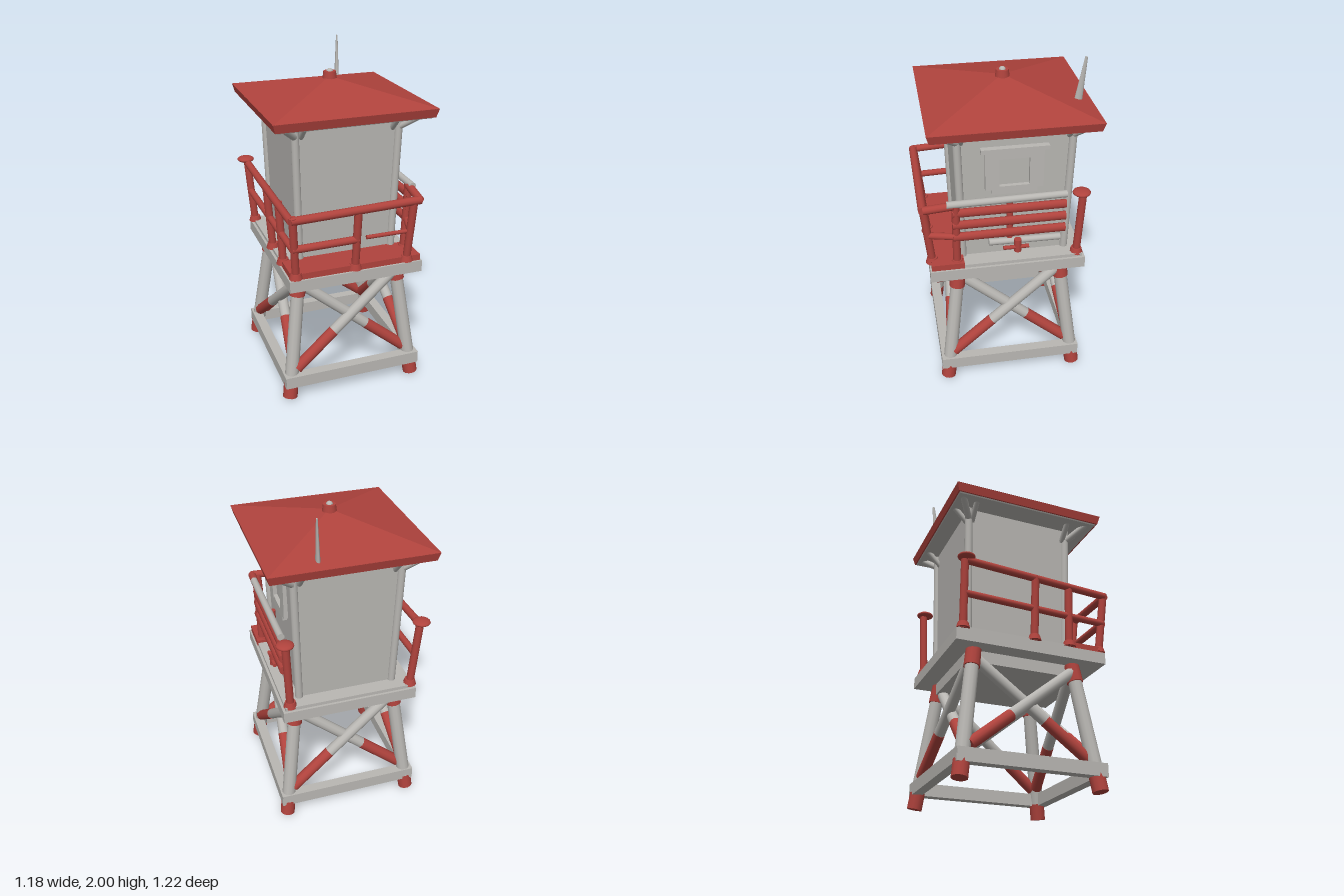
import * as THREE from 'three';

const red = new THREE.MeshStandardMaterial({ name: 'red paint', color: 0xb0433d });
const grey = new THREE.MeshStandardMaterial({ name: 'pale grey wood', color: 0xb9b7b3 });
const V = (x, y, z) => new THREE.Vector3(x, y, z);

export function createModel() {
  const model = new THREE.Group();
  model.name = 'watchTower';
  const tower = new THREE.Group();
  tower.name = 'tower';
  tower.rotation.y = 0.315;
  model.add(tower);

  const add = (name, geo, mat, x = 0, y = 0, z = 0) => {
    const m = new THREE.Mesh(geo, mat);
    m.name = name;
    m.position.set(x, y, z);
    tower.add(m);
    return m;
  };
  // axis-aligned box from its limits
  const box = (name, mat, x0, x1, y0, y1, z0, z1) =>
    add(name, new THREE.BoxGeometry(x1 - x0, y1 - y0, z1 - z0), mat, (x0 + x1) / 2, (y0 + y1) / 2, (z0 + z1) / 2);
  // round pole between two points
  const rod = (name, mat, a, b, r, r2 = r) => {
    const m = add(name, new THREE.CylinderGeometry(r2, r, a.distanceTo(b), 12), mat);
    m.position.copy(a).add(b).multiplyScalar(0.5);
    m.quaternion.setFromUnitVectors(V(0, 1, 0), b.clone().sub(a).normalize());
    return m;
  };
  // four-sided tapering block with hard edges, given half widths
  const frustum = (top, bottom, h) => {
    const g = new THREE.CylinderGeometry(top * Math.SQRT2, bottom * Math.SQRT2, h, 4).rotateY(Math.PI / 4).toNonIndexed();
    g.computeVertexNormals();
    return g;
  };

  // splayed legs with red feet and red tops
  const spread = (y) => 0.4 - 0.127 * y;
  for (const sx of [-1, 1]) for (const sz of [-1, 1]) {
    const at = (y) => V(sx * spread(y), y, sz * spread(y) - 0.005);
    rod('foot', red, at(0.006), at(0.1), 0.045);
    rod('leg', grey, at(0.1), at(0.66), 0.042, 0.04);
    rod('legTop', red, at(0.65), at(0.76), 0.047, 0.045);
  }

  // lower frame and crossed braces on all four sides
  for (let i = 0; i < 4; i++) {
    const turn = i * Math.PI / 2;
    const p = (x, y, z) => V(x, y, z).applyAxisAngle(V(0, 1, 0), turn);
    const beam = box('baseBeam', grey, -0.43, 0.43, 0.085, 0.16, -0.03, 0.03);
    beam.position.copy(p(0, 0.1225, 0.402));
    beam.rotation.y = turn;
    for (const s of [-1, 1]) {
      const inset = s * 0.012;
      const low = p(-s * 0.35, 0.19, 0.372 + inset);
      const high = p(s * 0.29, 0.71, 0.306 + inset);
      const mid = low.clone().lerp(high, 0.38);
      rod('braceLower', red, low, mid, 0.034);
      rod('braceUpper', grey, mid, high, 0.033);
    }
  }

  // platform
  box('underfloor', grey, -0.3, 0.3, 0.69, 0.77, -0.34, 0.29);
  box('deck', grey, -0.405, 0.405, 0.76, 0.83, -0.445, 0.47);
  box('deckTop', grey, -0.39, 0.39, 0.83, 0.85, -0.43, 0.455);
  box('frontWalkway', red, -0.395, 0.395, 0.831, 0.868, 0.27, 0.46);

  // cabin, slightly wider at the top
  const cabinGeo = new THREE.BoxGeometry(1, 0.86, 1);
  const cp = cabinGeo.attributes.position;
  for (let i = 0; i < cp.count; i++) {
    const up = cp.getY(i) > 0;
    cp.setX(i, cp.getX(i) * (up ? 0.62 : 0.575));
    cp.setZ(i, cp.getZ(i) * (up ? 0.65 : 0.61));
  }
  cabinGeo.computeVertexNormals();
  add('cabin', cabinGeo, grey, 0, 1.27, -0.035);
  for (const sx of [-1, 1]) for (const sz of [-1, 1]) {
    rod('cornerPost', grey, V(sx * 0.286, 0.84, sz * 0.303 - 0.035), V(sx * 0.308, 1.7, sz * 0.323 - 0.035), 0.023);
    // eave brackets
    rod('eaveBracket', grey, V(sx * 0.3, 1.6, sz * 0.315 - 0.035), V(sx * 0.41, 1.7, sz * 0.41 - 0.02), 0.02);
    rod('eaveBracket', grey, V(sx * 0.3, 1.6, sz * 0.3 - 0.035), V(sx * 0.4, 1.7, sz * 0.3 - 0.035), 0.017);
    rod('eaveBracket', grey, V(sx * 0.27, 1.6, sz * 0.31 - 0.035), V(sx * 0.27, 1.7, sz * 0.41 - 0.03), 0.017);
  }

  // side window with frame, shutter boards and lintel
  const wz = -0.03;
  for (const s of [-1, 1]) {
    box('windowBoard', grey, 0.29, 0.325, 1.3, 1.55, wz + s * 0.125 - 0.04, wz + s * 0.125 + 0.04);
  }
  box('windowHead', grey, 0.29, 0.324, 1.49, 1.55, wz - 0.09, wz + 0.09);
  box('windowSill', grey, 0.29, 0.324, 1.27, 1.32, wz - 0.13, wz + 0.13);
  box('windowLintel', grey, 0.29, 0.342, 1.54, 1.565, wz - 0.19, wz + 0.19);

  // hipped roof
  const rz = -0.015;
  add('soffit', frustum(0.452, 0.445, 0.012), grey, 0, 1.686, rz);
  add('roofRim', frustum(0.47, 0.457, 0.05), red, 0, 1.712, rz);
  add('roof', frustum(0.025, 0.47, 0.108), red, 0, 1.79, rz);
  add('roofCap', new THREE.CylinderGeometry(0.036, 0.042, 0.045, 16), red, 0, 1.858, rz);
  add('roofKnob', new THREE.SphereGeometry(0.02, 12, 8), grey, 0, 1.876, rz);

  // flat tapering mast at the back of the roof
  const mast = rod('mast', grey, V(0.182, 1.7, -0.4), V(0.196, 2.0, -0.434), 0.026, 0.008);
  mast.scale.x = 0.55;

  // railing posts: base x, z, and top x, z, top height
  const posts = [
    [-0.365, 0.45, -0.39, 0.49, 1.23], [-0.01, 0.45, -0.01, 0.49, 1.22], [0.31, 0.45, 0.325, 0.49, 1.23],
    [-0.38, 0.03, -0.41, 0.03, 1.24], [-0.38, 0.25, -0.4, 0.25, 1.23], [-0.38, -0.4, -0.415, -0.41, 1.26],
    [0.355, 0.31, 0.37, 0.31, 1.26], [0.355, -0.4, 0.375, -0.415, 1.27],
  ];
  for (const [x0, z0, x1, z1, y] of posts) {
    rod('railPost', red, V(x0, 0.84, z0), V(x1, y, z1), 0.023);
    add('postBase', new THREE.CylinderGeometry(0.03, 0.04, 0.035, 12), red, x0, 0.858, z0);
  }
  // rounded caps on the rear posts
  for (const x of [-0.425, 0.375]) {
    const cap = add('postCap', new THREE.SphereGeometry(0.052, 16, 10), red, x, 1.268, -0.405);
    cap.scale.y = 0.35;
  }

  // front and left-hand rails
  rod('frontTopRail', red, V(-0.4, 1.21, 0.492), V(0.365, 1.23, 0.492), 0.024);
  rod('frontMiddleRail', red, V(-0.39, 1.03, 0.472), V(0, 1.035, 0.472), 0.022);
  rod('frontThinRail', red, V(0.05, 1.035, 0.465), V(0.33, 1.035, 0.465), 0.012);
  rod('sideTopRail', red, V(-0.4, 1.21, 0.49), V(-0.42, 1.25, -0.4), 0.022);
  rod('sideMiddleRail', red, V(-0.385, 1.03, 0.475), V(-0.4, 1.05, -0.4), 0.02);

  // window-side rails with pale handrail
  for (const y of [1.04, 1.12, 1.2]) rod('sideBoard', red, V(0.37, y, 0.33), V(0.37, y, -0.32), 0.027).scale.x = 0.75;
  rod('handrail', grey, V(0.375, 1.262, 0.36), V(0.375, 1.268, -0.32), 0.021);
  rod('cornerRail', red, V(0.36, 1.23, 0.49), V(0.37, 1.25, 0.32), 0.024);
  rod('cornerMiddleRail', red, V(0.32, 1.035, 0.47), V(0.365, 1.04, 0.32), 0.02);
  rod('boardSupport', red, V(0.345, 0.99, 0), V(0.345, 1.25, 0), 0.018);

  // pale side bar with a red valve
  rod('sideBar', grey, V(0.34, 0.96, 0.12), V(0.34, 0.955, -0.3), 0.02);
  rod('valveStem', red, V(0.365, 0.9, -0.045), V(0.365, 0.98, -0.045), 0.022);
  rod('valveHandle', red, V(0.37, 0.93, 0.04), V(0.37, 0.93, -0.11), 0.012);

  return model;
}
